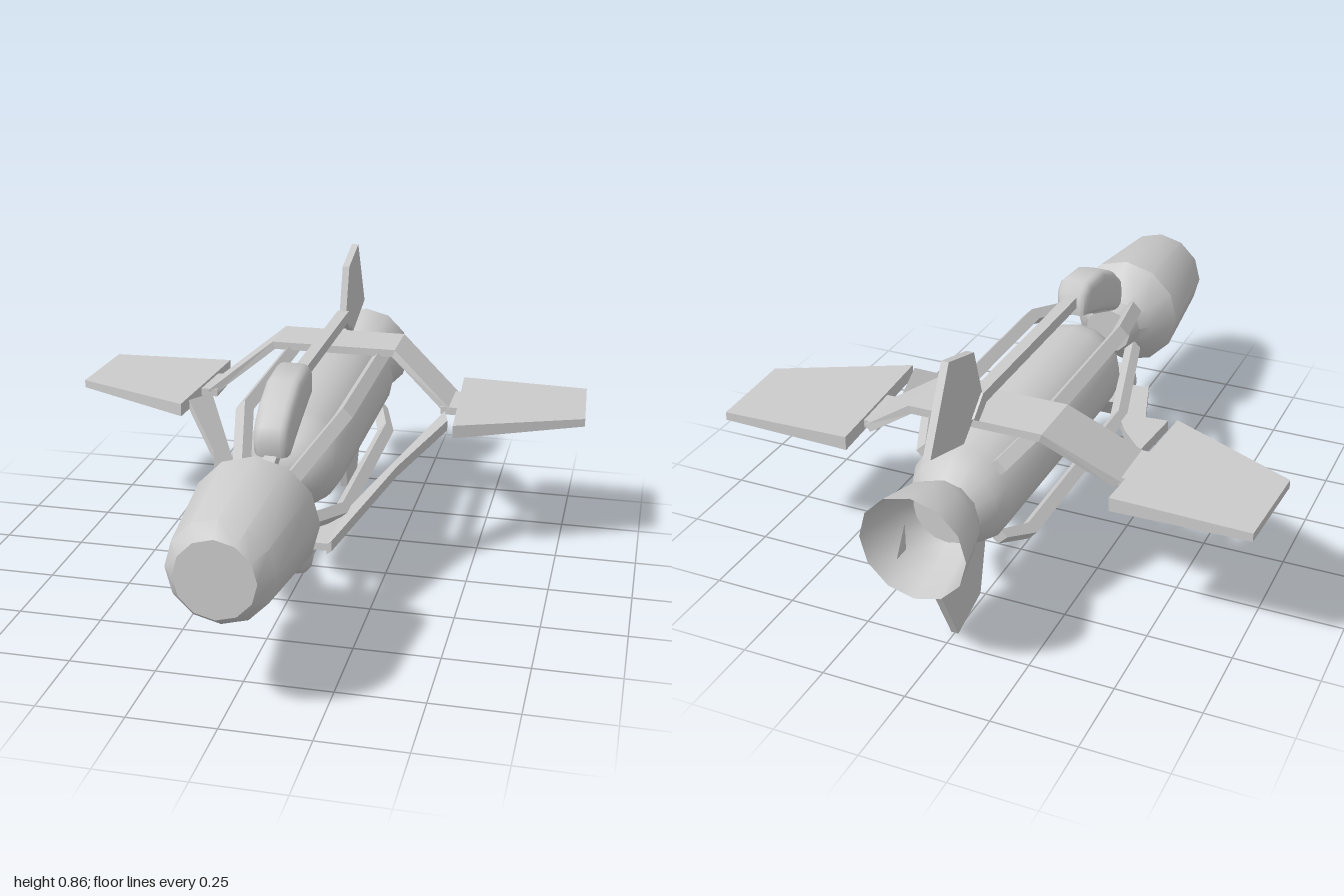
import * as THREE from 'three';
import { toCreasedNormals } from 'three/addons/utils/BufferGeometryUtils.js';

const AXIS = 0.42; // height of the hull axis
const grey = new THREE.MeshStandardMaterial({ color: 0xcccccc });
const greyThin = new THREE.MeshStandardMaterial({ color: 0xcccccc, side: THREE.DoubleSide });

function add(parent, name, geometry, material = grey, crease = 0.6) {
  const mesh = new THREE.Mesh(toCreasedNormals(geometry, crease), material);
  mesh.name = name;
  parent.add(mesh);
  return mesh;
}

// Solid of revolution along z from [radius, z] pairs, back to front
function turned(points, sides = 12) {
  return new THREE.LatheGeometry(points.map(p => new THREE.Vector2(...p)), sides)
    .rotateX(Math.PI / 2);
}

function extruded(points, depth, bevel = 0) {
  const shape = new THREE.Shape(points.map(p => new THREE.Vector2(...p)));
  const inner = depth - 2 * bevel;
  return new THREE.ExtrudeGeometry(shape, {
    depth: inner, bevelEnabled: bevel > 0, bevelSize: bevel,
    bevelThickness: bevel, bevelOffset: -bevel, bevelSegments: 3,
  }).translate(0, 0, -inner / 2);
}

// Side outline [z, y] with its thickness along x
const sidePlate = (points, width, bevel) => extruded(points, width, bevel).rotateY(-Math.PI / 2);

// Plan outline [x, z] with its thickness along y
const planPlate = (points, thick, s) =>
  extruded(points.map(([x, z]) => [s * x, -z]), thick).rotateX(-Math.PI / 2);

// Move every vertex by a rule
function warp(geometry, rule) {
  const p = geometry.attributes.position;
  const v = new THREE.Vector3();
  for (let i = 0; i < p.count; i++) {
    v.fromBufferAttribute(p, i);
    rule(v);
    p.setXYZ(i, v.x, v.y, v.z);
  }
  return geometry;
}

export function createModel() {
  const model = new THREE.Group();
  model.name = 'spaceship';

  // Nose pod with a flared rear
  add(model, 'nosePod', turned([
    [0, 0.45], [0.075, 0.45], [0.09, 0.5], [0.12, 0.535], [0.18, 0.61],
    [0.145, 0.95], [0.11, 1.0], [0, 1.0],
  ])).position.y = AXIS;

  // Main hull with a domed front
  const hull = [[0, -0.73], [0.095, -0.73], [0.13, -0.68], [0.15, -0.63]];
  for (let i = 0; i <= 6; i++) {
    const a = i / 6 * Math.PI / 2;
    hull.push([0.15 * Math.cos(a), 0.14 + 0.15 * Math.sin(a)]);
  }
  add(model, 'hull', turned(hull, 16)).position.y = AXIS;

  // Open exhaust bell
  add(model, 'exhaustBell', turned([[0.155, -0.92], [0.125, -0.78], [0.095, -0.72]]), greyThin)
    .position.y = AXIS;

  // Small vane behind the bell
  const vane = new THREE.Shape([[-0.95, 0.52], [-0.95, 0.44], [-1, 0.44]]
    .map(p => new THREE.Vector2(...p)));
  add(model, 'exhaustVane', new THREE.ShapeGeometry(vane).rotateY(-Math.PI / 2), greyThin);

  // Four frame rails around the hull, pinched at both ends
  for (let i = 0; i < 4; i++) {
    const rail = add(model, 'frameRail', sidePlate([
      [0.5, 0.08], [0.5, 0.115], [0.17, 0.227], [-0.52, 0.227], [-0.63, 0.17],
      [-0.63, 0.14], [-0.52, 0.19], [0.17, 0.19],
    ], 0.04), grey, 0.1);
    rail.position.y = AXIS;
    rail.rotation.z = Math.PI / 4 + i * Math.PI / 2;
  }

  // Top spine, canopy and the strut beneath it
  add(model, 'topSpine', sidePlate([
    [0.2, 0.645], [0.2, 0.68], [-0.52, 0.68], [-0.58, 0.63], [-0.55, 0.61], [-0.5, 0.645],
  ], 0.036), grey, 0.1);
  add(model, 'canopy', sidePlate([
    [0.45, 0.57], [0.44, 0.62], [0.38, 0.67], [0.29, 0.71], [0.17, 0.72], [0.135, 0.69],
    [0.135, 0.62], [0.17, 0.61], [0.3, 0.565], [0.41, 0.52], [0.44, 0.53],
  ], 0.105, 0.025), grey, 0.9);
  add(model, 'canopyStrut', sidePlate([
    [0.51, 0.48], [0.51, 0.515], [0.43, 0.54], [0.27, 0.6], [0.27, 0.565], [0.43, 0.505],
  ], 0.036), grey, 0.1);

  // Rounded pod under the chin
  add(model, 'chinPod', sidePlate([
    [0.48, 0.25], [0.465, 0.3], [0.41, 0.335], [0.36, 0.31], [0.29, 0.25],
    [0.38, 0.155], [0.44, 0.185],
  ], 0.22, 0.05), grey, 0.7);

  // Tail fins
  add(model, 'topFin', sidePlate([
    [-0.51, 0.67], [-0.555, 0.82], [-0.7, 0.86], [-0.82, 0.635], [-0.63, 0.58],
  ], 0.022), grey, 0.1);
  add(model, 'bottomFin', sidePlate([
    [-0.505, 0.24], [-0.555, 0.043], [-0.7, 0], [-0.815, 0.23], [-0.64, 0.28],
  ], 0.022), grey, 0.1);

  // Roof bracket carrying both wings, swept forward on its slopes
  const bracket = extruded([
    [-0.395, 0.455], [-0.2, 0.607], [0.2, 0.607], [0.395, 0.455],
    [0.375, 0.44], [0.192, 0.583], [-0.192, 0.583], [-0.375, 0.44],
  ], 0.18);
  add(model, 'wingBracket', warp(bracket, v => {
    v.z += -0.455 + Math.max(0, Math.abs(v.x) - 0.2) * 0.46;
  }), grey, 0.1);

  for (const s of [1, -1]) {
    const side = new THREE.Group();
    side.name = s > 0 ? 'leftWingAssembly' : 'rightWingAssembly';
    model.add(side);

    // Wing, thinner towards the tip
    const wing = planPlate([
      [0.4, -0.56], [0.8, -0.56], [0.815, -0.27], [0.43, -0.095],
    ], 0.042, s);
    add(side, 'wing', warp(wing, v => {
      v.y = 0.447 + v.y * (1 - (Math.abs(v.x) - 0.4));
    }), grey, 0.1);

    // Pin between bracket and wing root
    add(side, 'wingPin', new THREE.BoxGeometry(0.06, 0.024, 0.16).translate(s * 0.395, 0.447, -0.36));

    // Lower arm, sloping down and forward from the wing root
    const arm = planPlate([
      [0.38, -0.27], [0.41, -0.12], [0.285, 0.04], [0.165, 0.4],
      [0.15, 0.4], [0.155, 0.17], [0.225, 0.02],
    ], 0.032, s);
    add(side, 'lowerArm', warp(arm, v => {
      v.y += 0.262 + (Math.abs(v.x) - 0.165) * 0.8;
    }), grey, 0.1);

    // Flat tab joining the arm to the chin pod
    add(side, 'armTab', planPlate([
      [0.165, 0.4], [0.07, 0.4], [0.07, 0.33], [0.15, 0.17], [0.165, 0.17],
    ], 0.022, s).translate(0, 0.257, 0), grey, 0.1);
  }
  return model;
}
